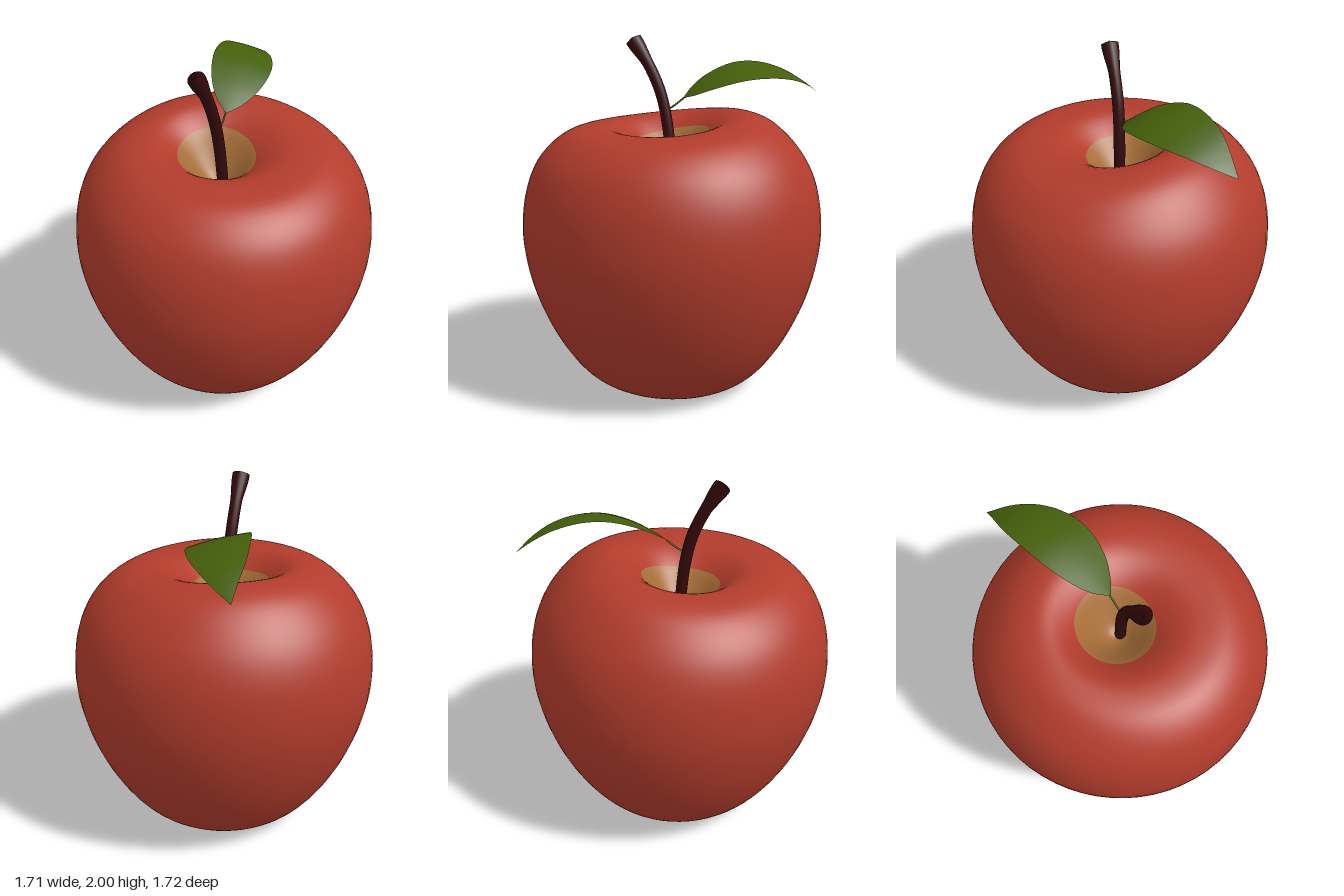
import * as THREE from 'three';

const V = (x, y, z) => new THREE.Vector3(x, y, z);
const smooth = THREE.MathUtils.smoothstep;

function material(name, color, side = THREE.FrontSide) {
  const m = new THREE.MeshStandardMaterial({ color, side });
  m.name = name;
  return m;
}

function mesh(name, geometry, mat) {
  const m = new THREE.Mesh(geometry, mat);
  m.name = name;
  return m;
}

// Fruit: a slightly lopsided surface of revolution; group 0 is skin, group 1 the bare hollows
function fruitGeometry() {
  const profile = [
    [0, 0.18], [0.07, 0.165], [0.14, 0.11], [0.22, 0.05], [0.32, 0.008], [0.42, 0.02],
    [0.54, 0.105], [0.655, 0.26], [0.755, 0.46], [0.825, 0.68], [0.855, 0.9], [0.835, 1.12],
    [0.775, 1.29], [0.685, 1.41], [0.57, 1.495], [0.44, 1.525], [0.33, 1.51], [0.217, 1.435],
    [0.13, 1.33], [0.06, 1.25], [0, 1.22],
  ];
  const curve = new THREE.SplineCurve(profile.map(([r, y]) => new THREE.Vector2(r, y)));
  const sub = 4, around = 64;
  const rows = (profile.length - 1) * sub;
  const pos = [], index = [];
  for (let j = 0; j <= rows; j++) {
    const p = curve.getPoint(j / rows);
    const r = j === 0 || j === rows ? 0 : p.x;
    const upper = smooth(p.y, 0.9, 1.4);
    const shift = -0.04 * upper * (1 - smooth(r, 0.2, 0.5));
    const rim = upper * smooth(r, 0, 0.25) * (1 - smooth(r, 0.4, 0.8));
    for (let i = 0; i < around; i++) {
      const a = (i / around) * Math.PI * 2;
      const wobble = 1 + 0.005 * Math.cos(3 * a);
      // The rim is highest at the back and lowest at the front left
      const lift = -0.038 * Math.cos(a) - 0.015 * Math.sin(a) + 0.01 * Math.cos(2 * a);
      pos.push(r * wobble * Math.sin(a) + shift, p.y + lift * rim, r * wobble * Math.cos(a));
    }
  }
  for (let j = 0; j < rows; j++) {
    for (let i = 0; i < around; i++) {
      const n = (i + 1) % around;
      const a = j * around + i, b = j * around + n;
      index.push(a, b, b + around, a, b + around, a + around);
    }
  }
  const g = new THREE.BufferGeometry();
  g.setAttribute('position', new THREE.Float32BufferAttribute(pos, 3));
  g.setIndex(index);
  const perRow = around * 6, low = 2 * sub, high = 17 * sub;
  g.addGroup(0, low * perRow, 1);
  g.addGroup(low * perRow, (high - low) * perRow, 0);
  g.addGroup(high * perRow, (rows - high) * perRow, 1);
  g.computeVertexNormals();
  return g;
}

// Tube whose radius follows a rule along its length
function taperedTube(points, radiusAt, segments, sides) {
  const curve = new THREE.CatmullRomCurve3(points);
  const g = new THREE.TubeGeometry(curve, segments, 1, sides);
  const p = g.attributes.position, v = V(0, 0, 0);
  for (let i = 0; i <= segments; i++) {
    const c = curve.getPointAt(i / segments), r = radiusAt(i / segments);
    for (let j = 0; j <= sides; j++) {
      const k = i * (sides + 1) + j;
      v.fromBufferAttribute(p, k).sub(c).multiplyScalar(r).add(c);
      p.setXYZ(k, v.x, v.y, v.z);
    }
  }
  return g;
}

// Leaf blade: gently bowed cross-sections stretched between the high and low edge
function leafGeometry() {
  const base = V(0, 1.655, -0.06), tip = V(-0.02, 1.675, -0.86);
  const highEdge = new THREE.CatmullRomCurve3([
    base, V(-0.065, 1.715, -0.125), V(-0.108, 1.78, -0.22), V(-0.13, 1.843, -0.38),
    V(-0.12, 1.848, -0.52), V(-0.095, 1.81, -0.66), V(-0.055, 1.745, -0.77), tip]);
  const lowEdge = new THREE.CatmullRomCurve3([
    base, V(0.07, 1.675, -0.115), V(0.145, 1.715, -0.21), V(0.195, 1.76, -0.37),
    V(0.185, 1.77, -0.52), V(0.135, 1.755, -0.66), V(0.065, 1.72, -0.77), tip]);
  const rows = 28, cols = 8, pos = [], index = [];
  for (let i = 0; i <= rows; i++) {
    const a = highEdge.getPoint(i / rows), b = lowEdge.getPoint(i / rows);
    for (let j = 0; j <= cols; j++) {
      const t = j / cols, p = a.clone().lerp(b, t);
      const bow = 0.03 * a.distanceTo(b) * Math.sin(Math.PI * t);
      pos.push(p.x, p.y + bow, p.z);
      if (i < rows && j < cols) {
        const k = i * (cols + 1) + j, n = k + cols + 1;
        index.push(k, k + 1, n + 1, k, n + 1, n);
      }
    }
  }
  const g = new THREE.BufferGeometry();
  g.setAttribute('position', new THREE.Float32BufferAttribute(pos, 3));
  g.setIndex(index);
  g.computeVertexNormals();
  return g;
}

export function createModel() {
  const skin = material('red skin', 0xb23c2c);
  const hollow = material('tan hollow', 0xa66e38);
  const bark = material('dark stem', 0x360a0a);
  const green = material('leaf green', 0x445f0a, THREE.DoubleSide);

  const model = new THREE.Group();
  model.name = 'apple';
  model.add(mesh('fruit', fruitGeometry(), [skin, hollow]));

  // Stem with a flared, blunt end
  const stemRadius = (t) => (t > 0.999 ? 0 : 0.032 + 0.015 * smooth(t, 0.78, 0.97));
  model.add(mesh('stem', taperedTube([
    V(0, 1.2, 0), V(-0.02, 1.5, 0.025), V(-0.04, 1.68, 0.06),
    V(-0.065, 1.83, 0.12), V(-0.1, 1.988, 0.212)], stemRadius, 60, 16), bark));

  // Leaf and its stalk
  const leaf = new THREE.Group();
  leaf.name = 'leaf';
  leaf.add(mesh('leafBlade', leafGeometry(), green));
  leaf.add(mesh('leafStalk', taperedTube([
    V(-0.025, 1.585, 0.03), V(-0.012, 1.615, -0.015), V(0, 1.66, -0.07)],
  () => 0.005, 8, 8), green));
  model.add(leaf);
  return model;
}
